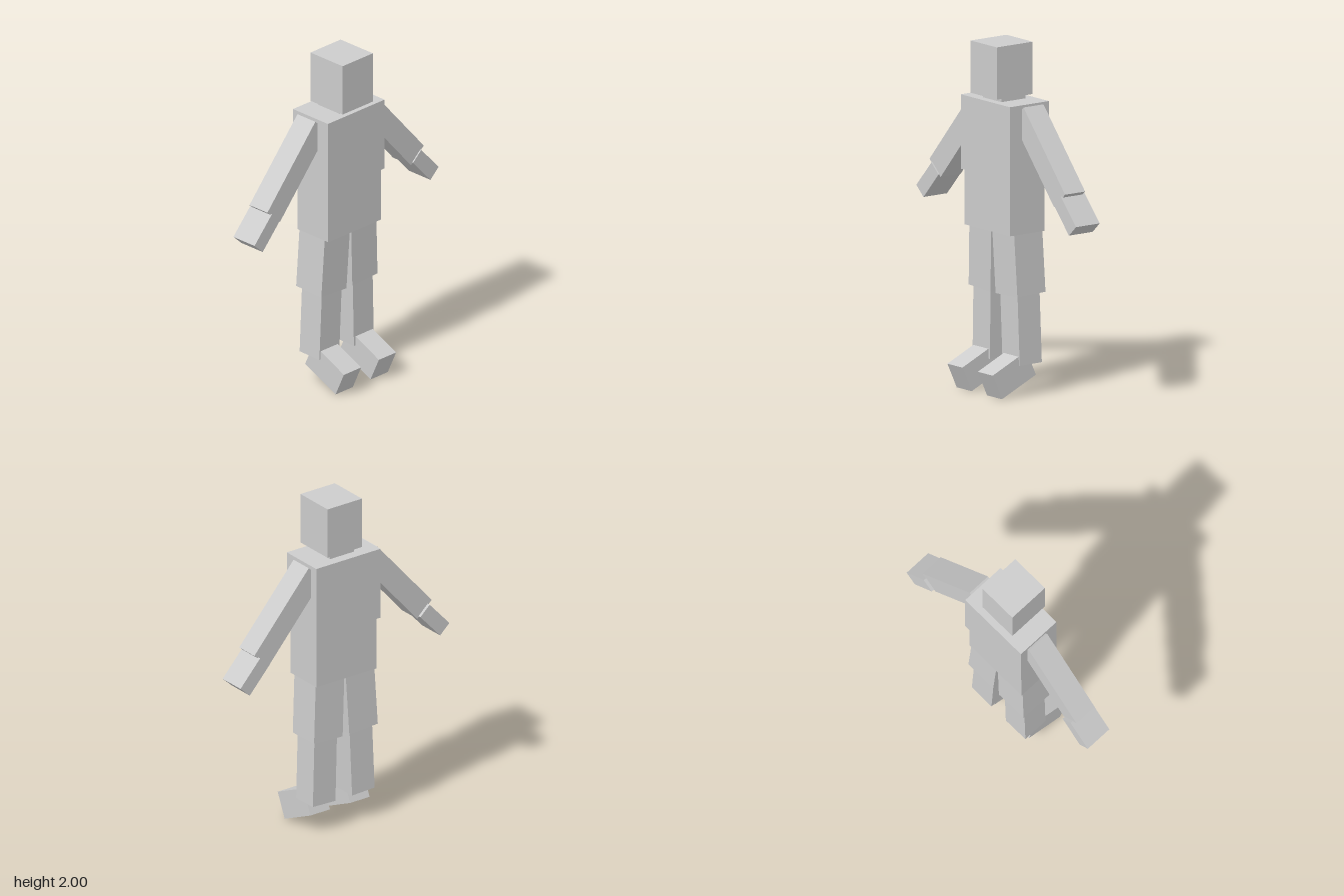
import * as THREE from 'three';

export function createModel() {
  const root = new THREE.Group();
  root.name = 'blockFigure';
  const grey = new THREE.MeshStandardMaterial({ color: 0xcccccc, flatShading: true });
  grey.name = 'light grey';

  // One box: size, centre, and tilt in radians
  const box = (name, size, pos, rot = [0, 0, 0]) => {
    const mesh = new THREE.Mesh(new THREE.BoxGeometry(...size), grey);
    mesh.name = name;
    mesh.position.set(...pos);
    mesh.rotation.set(...rot);
    root.add(mesh);
  };

  // The same box on both sides of the body
  const pair = (name, size, [x, y, z], [rx, ry, rz]) => {
    for (const [side, s] of [['left', 1], ['right', -1]]) {
      box(side + name, size, [s * x, y, z], [rx, s * ry, s * rz]);
    }
  };

  // Head and trunk
  box('head', [0.24, 0.3, 0.255], [0, 1.85, -0.033]);
  box('neck', [0.17, 0.06, 0.17], [0, 1.68, -0.05]);
  box('chest', [0.45, 0.427, 0.277], [0, 1.459, -0.056]);
  box('abdomen', [0.42, 0.32, 0.245], [0, 1.088, -0.053]);

  // Arms: upper arm and forearm share one slanted line
  const armTilt = 0.717;
  const armPoint = (t) => [0.38 + Math.sin(armTilt) * t, 1.4 - Math.cos(armTilt) * t, -0.073];
  pair('UpperArm', [0.135, 0.35, 0.142], armPoint(-0.115), [0, 0, armTilt]);
  pair('Forearm', [0.135, 0.23, 0.142], armPoint(0.175), [0, 0, armTilt]);
  pair('Hand', [0.088, 0.205, 0.168], [0.63, 1.105, -0.078], [0, 0, 0.74]);

  // Legs
  pair('Thigh', [0.2, 0.37, 0.2], [0.114, 0.758, -0.067], [0.025, 0, 0.05]);
  pair('Shin', [0.158, 0.41, 0.157], [0.13, 0.38, -0.07], [0.012, 0, 0.035]);
  pair('Foot', [0.137, 0.158, 0.265], [0.139, 0.127, 0.038], [0.43, 0, 0]);

  return root;
}
